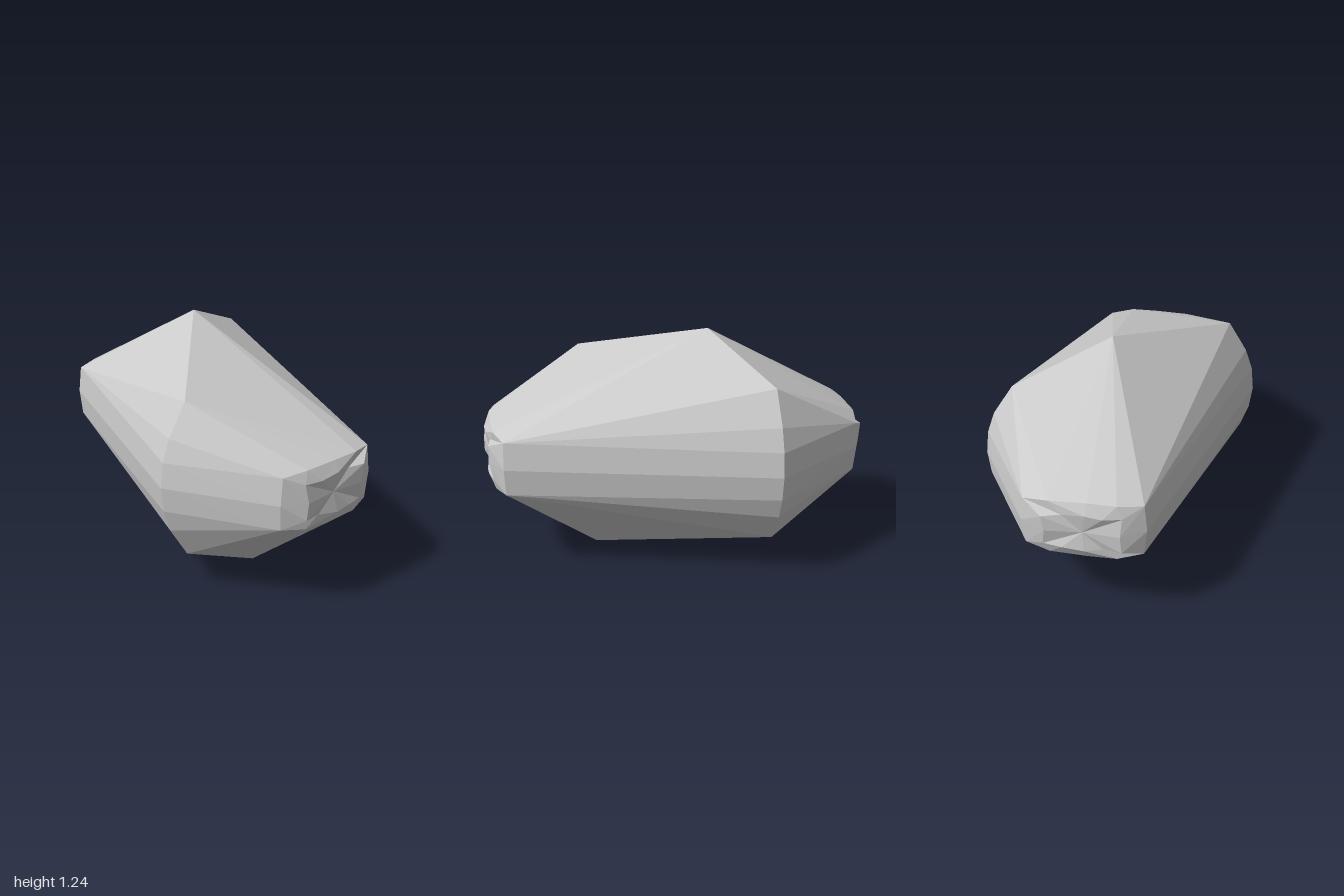
import * as THREE from 'three';
import { ConvexGeometry } from 'three/addons/geometries/ConvexGeometry.js';

const MID_Y = 0.622;
const v = (x, y, z) => new THREE.Vector3(x, y, z);
// Opposite point through the middle of the stone
const invert = (p) => v(-p.x, 2 * MID_Y - p.y, -p.z);

// Widest contour on the front, as [y, z] at x = 0.42
const ridge = [
  [1.03, 0.52], [0.865, 0.62], [0.75, 0.66], [0.62, 0.675],
  [0.49, 0.66], [0.37, 0.62], [0.2, 0.515],
].map(([y, z]) => v(0.42, y, z));

// Rim of the blunt end, counter-clockwise seen from +x
const rim = [
  [0.93, 0.765, -0.225], [0.97, 0.78, -0.1], [0.971, 0.779, 0.05], [0.965, 0.775, 0.23],
  [0.93, 0.76, 0.355], [0.935, 0.62, 0.37], [0.93, 0.49, 0.36], [0.965, 0.465, 0.23],
  [0.971, 0.455, 0.04], [0.97, 0.46, -0.1], [0.93, 0.475, -0.225], [0.935, 0.62, -0.24],
].map((p) => v(...p));

function fromTriangles(points) {
  const geometry = new THREE.BufferGeometry().setFromPoints(points);
  geometry.computeVertexNormals();
  return geometry;
}

// Faceted hull, left open at the two blunt ends
function bodyGeometry() {
  const half = [...ridge, ...rim];
  const peaks = [v(-0.19, 1.24, -0.04), v(0.42, 0, 0.06)];
  const hull = new ConvexGeometry([...half, ...half.map(invert), ...peaks]).attributes.position;
  const kept = [];
  for (let i = 0; i < hull.count; i += 3) {
    const tri = [0, 1, 2].map((k) => new THREE.Vector3().fromBufferAttribute(hull, i + k));
    const inEnd = tri.every((p) => p.x > 0.92) || tri.every((p) => p.x < -0.92);
    if (!inEnd) kept.push(...tri);
  }
  return fromTriangles(kept);
}

// Chipped end: rim, uneven inner ring, slightly sunken centre
function endGeometry(opposite) {
  const centre = v(0.985, MID_Y, 0.065);
  const inner = rim.map((p, i) => {
    const s = i % 2 ? 0.6 : 0.66;
    return v(i % 3 === 1 ? 0.982 : 1,
      MID_Y + (p.y - MID_Y) * s, 0.065 + (p.z - 0.065) * s);
  });
  const points = [];
  const add = (a, b, c) => {
    if (opposite) points.push(invert(a), invert(c), invert(b));
    else points.push(a, b, c);
  };
  rim.forEach((p, i) => {
    const j = (i + 1) % rim.length;
    add(p, rim[j], inner[j]);
    add(p, inner[j], inner[i]);
    add(inner[i], inner[j], centre);
  });
  return fromTriangles(points);
}

export function createModel() {
  const group = new THREE.Group();
  group.name = 'stone';
  const material = new THREE.MeshStandardMaterial({ color: 0xcccccc, flatShading: true });
  const addPart = (name, geometry) => {
    const mesh = new THREE.Mesh(geometry, material);
    mesh.name = name;
    group.add(mesh);
  };
  addPart('stoneBody', bodyGeometry());
  addPart('leftEnd', endGeometry(false));
  addPart('rightEnd', endGeometry(true));
  return group;
}
